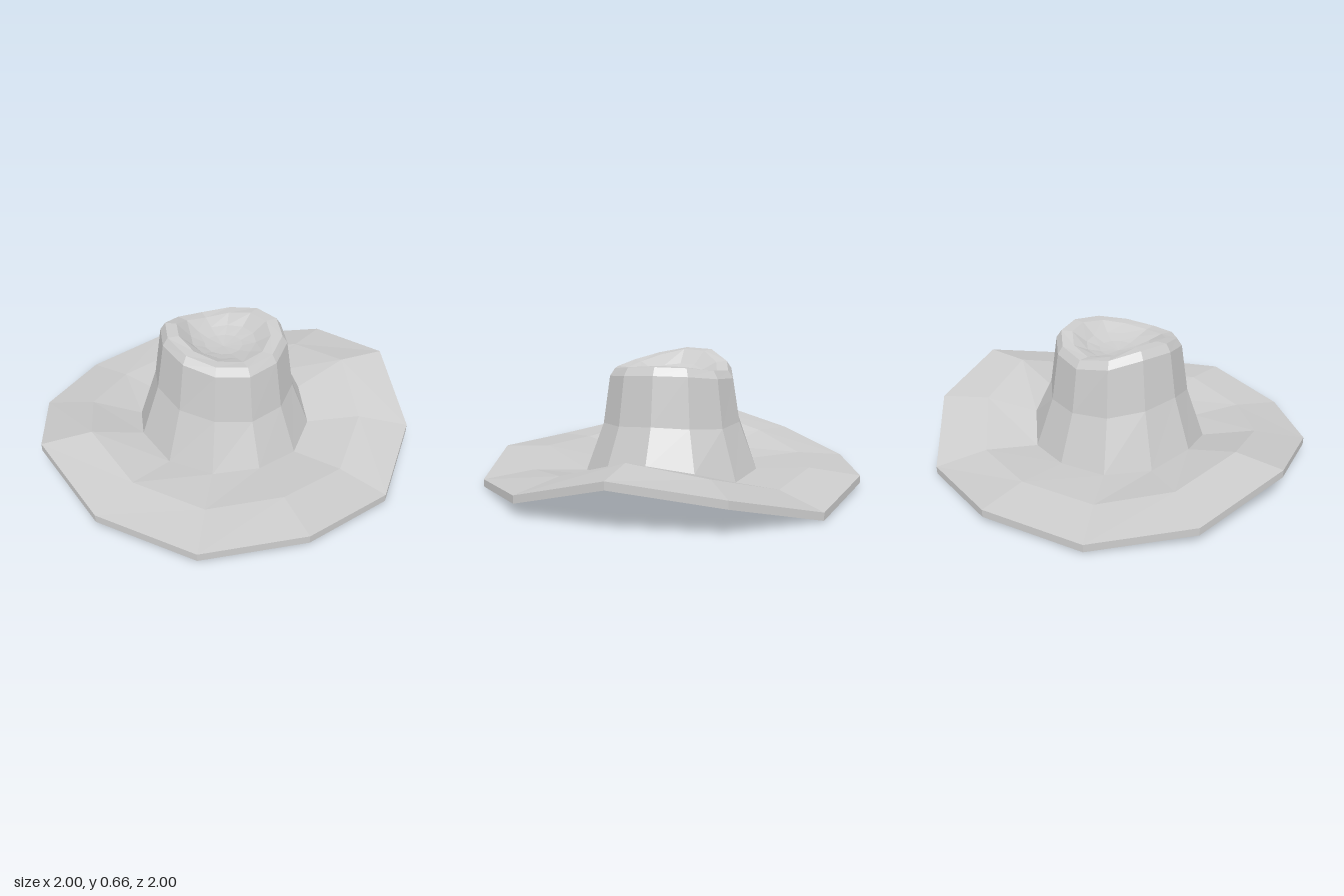
import * as THREE from 'three';

const SIDES = 12;
const material = new THREE.MeshStandardMaterial({ color: 0xcccccc, flatShading: true });

// One ring of points, counted from +x towards +z; y is one height or one per point.
function ring(r, y) {
  return Array.from({ length: SIDES }, (_, i) => {
    const a = (i / SIDES) * Math.PI * 2;
    return new THREE.Vector3(r * Math.cos(a), Array.isArray(y) ? y[i] : y, r * Math.sin(a));
  });
}

// Joins successive rings with flat facets.
function skin(name, rings) {
  const points = [];
  const triangle = (a, b, c) => {
    const area = b.clone().sub(a).cross(c.clone().sub(a)).length();
    if (area > 1e-6) for (const p of [a, b, c]) points.push(p.x, p.y, p.z);
  };
  for (let k = 0; k < rings.length - 1; k++) {
    const lower = rings[k], upper = rings[k + 1];
    for (let i = 0; i < SIDES; i++) {
      const j = (i + 1) % SIDES;
      triangle(lower[i], upper[i], lower[j]);
      triangle(lower[j], upper[i], upper[j]);
    }
  }
  const geometry = new THREE.BufferGeometry();
  geometry.setAttribute('position', new THREE.Float32BufferAttribute(points, 3));
  geometry.computeVertexNormals();
  const mesh = new THREE.Mesh(geometry, material);
  mesh.name = name;
  return mesh;
}

export function createModel() {
  const hat = new THREE.Group();
  hat.name = 'hat';

  // Heights around the wavy brim and the pinched crown
  const edge = [0.27, 0.115, 0.045, 0.085, 0.045, 0.1, 0.2, 0.095, 0.045, 0.08, 0.045, 0.19];
  const middle = [0.275, 0.15, 0.08, 0.105, 0.075, 0.12, 0.2, 0.12, 0.075, 0.1, 0.09, 0.2];
  const base = [0.16, 0.09, 0.06, 0.07, 0.06, 0.07, 0.11, 0.07, 0.06, 0.07, 0.06, 0.14];
  const waist = [0.35, 0.33, 0.31, 0.3, 0.32, 0.34, 0.38, 0.36, 0.33, 0.32, 0.32, 0.34];
  const rim = [0.64, 0.625, 0.6, 0.585, 0.6, 0.63, 0.66, 0.66, 0.615, 0.59, 0.61, 0.635];
  const offset = (heights, d) => heights.map((y) => y + d);
  const flatten = (heights, level, t) => heights.map((y) => y + (level - y) * t);

  const hole = ring(0.38, 0.025);
  const crownBase = ring(0.465, base);

  // Brim: underside, thin edge, and two bands on top
  hat.add(skin('brim', [hole, ring(1, offset(edge, -0.04)), ring(1, edge), ring(0.74, middle), crownBase]));

  // Crown: flared wall, bevelled shoulder, rim, and dished top
  hat.add(skin('crown', [
    crownBase,
    ring(0.37, waist),
    ring(0.332, offset(rim, -0.04)),
    ring(0.305, rim),
    ring(0.245, offset(rim, -0.003)),
    ring(0.17, flatten(rim, 0.555, 0.7)),
    ring(0.1, flatten(rim, 0.545, 0.9)),
    ring(0, 0.54),
  ]));

  // Lining: hollow inside of the crown
  hat.add(skin('lining', [ring(0, 0.5), ring(0.28, 0.5), ring(0.33, 0.3), hole]));

  return hat;
}
